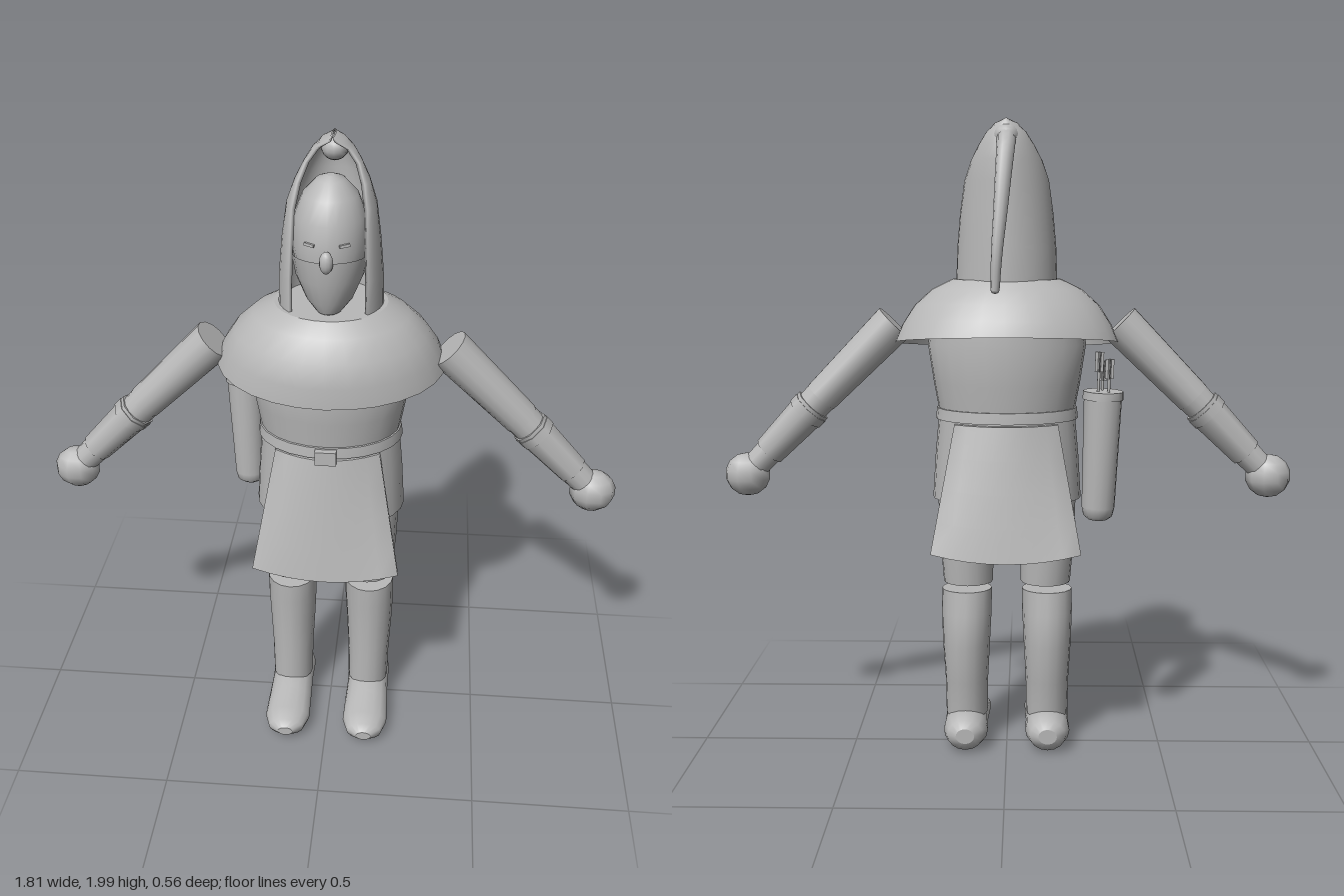
import * as THREE from 'three';

const V = (x, y, z) => new THREE.Vector3(x, y, z);
const TAU = Math.PI * 2;

// Skin rows of points (listed bottom to top); closed rows wrap round, caps fill the ends.
function skin(rows, closed = true, capBottom = false, capTop = false) {
  const pos = [], idx = [], n = rows[0].length;
  rows.forEach(r => r.forEach(p => pos.push(p.x, p.y, p.z)));
  for (let i = 0; i < rows.length - 1; i++) {
    for (let j = 0; j < (closed ? n : n - 1); j++) {
      const a = i * n + j, b = i * n + (j + 1) % n;
      idx.push(a, a + n, b, b, a + n, b + n);
    }
  }
  const cap = (row, up) => {
    const base = pos.length / 3, c = V(0, 0, 0);
    row.forEach(p => { pos.push(p.x, p.y, p.z); c.addScaledVector(p, 1 / n); });
    pos.push(c.x, c.y, c.z);
    for (let j = 0; j < n; j++) {
      const a = base + j, b = base + (j + 1) % n;
      idx.push(base + n, up ? b : a, up ? a : b);
    }
  };
  if (capBottom) cap(rows[0], false);
  if (capTop) cap(rows[rows.length - 1], true);
  const g = new THREE.BufferGeometry();
  g.setAttribute('position', new THREE.Float32BufferAttribute(pos, 3));
  g.setIndex(idx);
  g.computeVertexNormals();
  return g;
}

// Ellipse sections: [y, rx, rz, cx, cz, tilt]; tilt lowers the front and lifts the back.
function loft(sections, seg = 20, capBottom = true, capTop = true) {
  const rows = sections.map(([y, rx, rz, cx = 0, cz = 0, tilt = 0]) =>
    Array.from({ length: seg }, (_, j) => {
      const a = j / seg * TAU;
      return V(cx + rx * Math.sin(a), y + tilt * Math.cos(a), cz - rz * Math.cos(a));
    }));
  return skin(rows, true, capBottom, capTop);
}

export function createModel() {
  const model = new THREE.Group();
  const grey = new THREE.MeshStandardMaterial({ color: 0xb8b8b8, side: THREE.DoubleSide });
  grey.name = 'plain grey';
  const add = (name, geo, parent = model) => {
    const m = new THREE.Mesh(geo, grey);
    m.name = name;
    parent.add(m);
    return m;
  };
  // Tapered cylinder between two points
  const limb = (name, a, b, ra, rb, seg = 14, parent = model) => {
    const m = add(name, new THREE.CylinderGeometry(rb, ra, a.distanceTo(b), seg), parent);
    m.position.copy(a).lerp(b, 0.5);
    m.quaternion.setFromUnitVectors(V(0, 1, 0), b.clone().sub(a).normalize());
    return m;
  };
  const ball = (name, x, y, z, rx, ry, rz, seg = 16) => {
    const m = add(name, new THREE.SphereGeometry(1, seg, Math.ceil(seg * 0.7)));
    m.position.set(x, y, z);
    m.scale.set(rx, ry, rz);
    return m;
  };

  // Body, tunic skirt and belt
  add('torso', loft([[1.09, 0.212, 0.165, 0, 0.015], [1.2, 0.232, 0.178, 0, 0.015],
    [1.32, 0.25, 0.19, 0, 0.018], [1.45, 0.22, 0.17, 0, 0.01]], 24));
  add('skirt', loft([[0.83, 0.237, 0.175, 0, 0.013], [0.97, 0.228, 0.174, 0, 0.014],
    [1.1, 0.216, 0.169, 0, 0.015]], 24));
  add('belt', loft([[1.085, 0.226, 0.178, 0, 0.015], [1.12, 0.222, 0.176, 0, 0.015]], 24));
  add('buckle', new THREE.BoxGeometry(0.065, 0.045, 0.025)).position.set(0, 1.093, 0.197);

  // Flared cloth panels hanging from the belt, front and back
  const panel = side => {
    const rows = [0, 0.25, 0.5, 0.75, 1].map(t => {
      const w = 0.23 - 0.07 * t;
      const z = side > 0 ? 0.258 - 0.062 * t : 0.248 - 0.07 * t;
      const edge = off => Array.from({ length: 9 }, (_, j) => {
        const u = j / 4 - 1;
        const y = 0.67 + 0.41 * t + (1 - t) * 0.025 * u * u;
        return V(w * u, y, side * (z - off - (0.02 + 0.035 * t) * u * u));
      });
      return side > 0 ? [...edge(0.018), ...edge(0).reverse()] : [...edge(0), ...edge(0.018).reverse()];
    });
    return skin(rows, true, true, true);
  };
  add('frontPanel', panel(1));
  add('backPanel', panel(-1));

  // Shoulder cape, dipping at the front
  add('cape', loft([[1.325, 0.35, 0.268, 0, -0.008, 0.034], [1.38, 0.328, 0.257, 0, 0, 0.026],
    [1.44, 0.29, 0.235, 0, 0.01, 0.014], [1.49, 0.235, 0.195, 0, 0.005, 0.004],
    [1.522, 0.17, 0.155, 0, 0]], 28, false, true));

  for (const s of [1, -1]) {
    const side = s > 0 ? 'left' : 'right';
    // Legs
    add(side + 'Thigh', loft([[0.55, 0.08, 0.078, s * 0.125, 0.012], [0.7, 0.087, 0.09, s * 0.13, 0.01],
      [0.88, 0.092, 0.1, s * 0.13, 0.01]], 16));
    add(side + 'Shin', loft([[0.1, 0.068, 0.068, s * 0.132, 0.018], [0.22, 0.07, 0.075, s * 0.132, 0.012],
      [0.35, 0.077, 0.09, s * 0.132, 0], [0.45, 0.081, 0.088, s * 0.131, 0.008],
      [0.525, 0.081, 0.086, s * 0.13, 0.014, 0.004]], 16));
    // Shoe, lofted along its length
    const shoe = loft([[-0.12, 0.03, 0.025, 0, -0.065], [-0.105, 0.058, 0.05, 0, -0.064],
      [-0.06, 0.072, 0.061, 0, -0.065], [0.03, 0.07, 0.061, 0, -0.065], [0.12, 0.073, 0.05, 0, -0.055],
      [0.21, 0.075, 0.042, 0, -0.047], [0.26, 0.058, 0.034, 0, -0.045], [0.282, 0.025, 0.016, 0, -0.044]], 16);
    shoe.rotateX(Math.PI / 2);
    add(side + 'Shoe', shoe).position.x = s * 0.133;

    // Arms
    const shoulder = V(s * 0.355, 1.385, 0.014), elbow = V(s * 0.59, 1.15, 0.005);
    const wrist = V(s * 0.8, 0.935, 0.005);
    const along = t => elbow.clone().lerp(wrist, t);
    limb(side + 'UpperArm', shoulder, elbow, 0.066, 0.056);
    limb(side + 'Forearm', along(-0.04), along(1), 0.055, 0.043);
    limb(side + 'Bracer', along(0.12), along(0.82), 0.061, 0.05, 8);
    limb(side + 'BracerBand', along(0.16), along(0.26), 0.063, 0.062, 8);
    ball(side + 'Hand', s * 0.833, 0.9, 0.005, 0.073, 0.07, 0.058, 10);
    // Narrow eye slits
    const eye = add(side + 'Eye', new THREE.BoxGeometry(0.03, 0.008, 0.009));
    eye.position.set(s * 0.05, 1.748, 0.142);
    eye.rotation.set(-0.1, s * 0.35, s * 0.15);
  }

  // Head with a scarf over the lower face, and nose
  add('head', loft([[1.52, 0.035, 0.05, 0, 0.06], [1.56, 0.065, 0.08, 0, 0.045], [1.63, 0.095, 0.105, 0, 0.04],
    [1.72, 0.11, 0.117, 0, 0.035], [1.8, 0.104, 0.111, 0, 0.03], [1.86, 0.08, 0.088, 0, 0.025],
    [1.9, 0.042, 0.048, 0, 0.022], [1.912, 0.012, 0.014, 0, 0.022]], 24));
  add('faceScarf', loft([[1.525, 0.04, 0.056, 0, 0.06], [1.56, 0.07, 0.086, 0, 0.046],
    [1.63, 0.1, 0.111, 0, 0.041], [1.69, 0.112, 0.121, 0, 0.037, -0.01]], 24, true, false));
  ball('nose', 0, 1.705, 0.165, 0.02, 0.033, 0.018, 12);

  // Hood open at the front: [y, rx, rz, cz, half sweep in degrees]
  const hoodRows = [[1.515, 0.157, 0.155, -0.006, 133], [1.62, 0.153, 0.155, -0.006, 132],
    [1.72, 0.144, 0.15, -0.01, 130], [1.82, 0.13, 0.14, -0.02, 125], [1.88, 0.108, 0.12, -0.04, 118],
    [1.925, 0.083, 0.09, -0.065, 112], [1.96, 0.06, 0.065, -0.08, 125], [1.985, 0.035, 0.052, -0.082, 170],
    [1.997, 0.006, 0.045, -0.08, 179]];
  const hoodArc = (shrink) => hoodRows.map(([y, rx, rz, cz, deg]) =>
    Array.from({ length: 25 }, (_, j) => {
      const a = (j / 12 - 1) * deg * Math.PI / 180;
      return V(Math.max(rx - shrink, 0.002) * Math.sin(a), y, cz - (rz - shrink) * Math.cos(a));
    }));
  const outer = hoodArc(0), inner = hoodArc(0.012);
  add('hood', skin(outer.map((r, i) => [...r, ...inner[i].reverse()])));

  // Hood tail hanging behind
  const tailPath = new THREE.CatmullRomCurve3([V(0, 1.95, -0.115), V(0, 1.92, -0.165), V(0.006, 1.84, -0.208),
    V(0.015, 1.72, -0.243), V(0.025, 1.6, -0.262), V(0.03, 1.495, -0.262)]);
  const tail = new THREE.TubeGeometry(tailPath, 24, 0.022, 10);
  const tp = tail.attributes.position;
  for (let i = 0; i < tp.count; i++) {
    const t = Math.floor(i / 11) / 24, c = tailPath.getPointAt(t), p = V(0, 0, 0).fromBufferAttribute(tp, i);
    p.sub(c).multiplyScalar(1.35 - 0.75 * t).add(c);
    tp.setXYZ(i, p.x, p.y, p.z);
  }
  tail.computeVertexNormals();
  add('hoodTail', tail);
  ball('hoodTailEnd', 0.03, 1.496, -0.262, 0.013, 0.01, 0.013, 8);
  ball('hoodTailKnot', 0, 1.945, -0.12, 0.04, 0.037, 0.04, 12);

  // Quiver on the right hip, with arrows
  const quiver = new THREE.Group();
  quiver.name = 'quiver';
  quiver.position.set(-0.283, 0.79, -0.14);
  quiver.rotation.set(-0.03, 0, 0.03);
  model.add(quiver);
  add('quiverCase', loft([[0, 0.03, 0.028], [0.012, 0.045, 0.043], [0.04, 0.051, 0.05],
    [0.38, 0.058, 0.055]], 16), quiver);
  add('quiverRim', loft([[0.375, 0.062, 0.059], [0.4, 0.061, 0.058]], 16), quiver);
  for (const [x, z, h] of [[-0.015, -0.02, 0.5], [0.016, -0.012, 0.52], [0.002, 0.018, 0.49]]) {
    limb('arrowShaft', V(x, 0.39, z), V(x, h, z), 0.005, 0.005, 6, quiver);
    for (const turn of [0, Math.PI / 2]) {
      const fin = add('arrowFeather', new THREE.BoxGeometry(0.026, 0.06, 0.003), quiver);
      fin.position.set(x, h - 0.03, z);
      fin.rotation.y = turn;
    }
  }
  return model;
}
